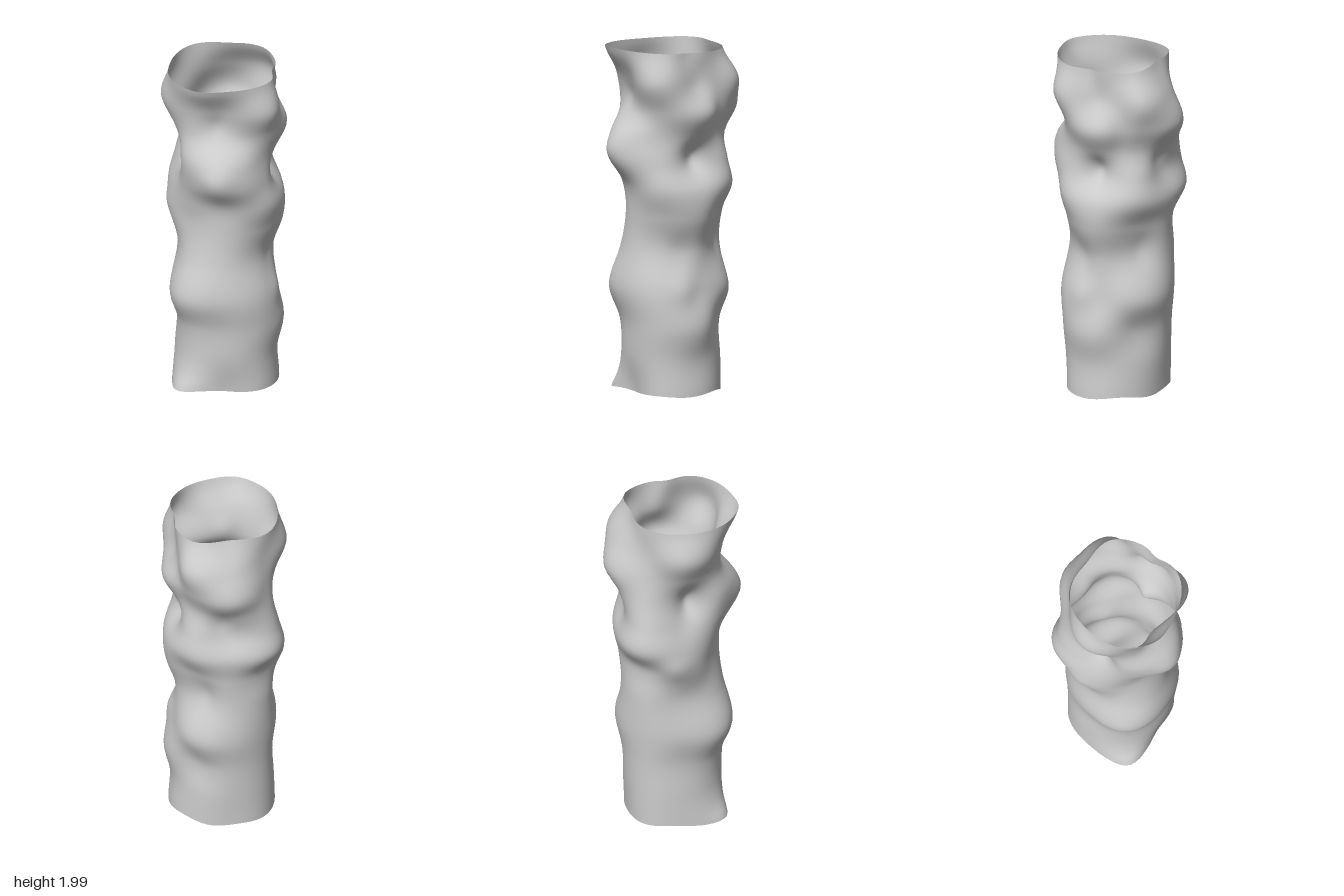
import * as THREE from 'three';

// Heights at which the wall radius is given
const LEVELS = [0, 0.2, 0.4, 0.6, 0.85, 1.05, 1.2, 1.35, 1.5, 1.65, 1.82, 2];

// Radius profiles, one per 45 degrees, turning from +x towards +z
const PROFILES = [
  [0.27, 0.265, 0.25, 0.31, 0.235, 0.27, 0.335, 0.31, 0.28, 0.33, 0.37, 0.285],
  [0.30, 0.29, 0.325, 0.285, 0.27, 0.325, 0.325, 0.25, 0.285, 0.345, 0.27, 0.285],
  [0.31, 0.31, 0.33, 0.325, 0.27, 0.31, 0.35, 0.33, 0.31, 0.33, 0.39, 0.34],
  [0.26, 0.29, 0.30, 0.335, 0.295, 0.285, 0.30, 0.38, 0.37, 0.275, 0.285, 0.36],
  [0.34, 0.30, 0.305, 0.37, 0.295, 0.27, 0.29, 0.32, 0.335, 0.31, 0.33, 0.375],
  [0.30, 0.29, 0.28, 0.31, 0.275, 0.315, 0.315, 0.275, 0.25, 0.30, 0.37, 0.32],
  [0.30, 0.30, 0.30, 0.31, 0.31, 0.305, 0.39, 0.365, 0.335, 0.31, 0.29, 0.295],
  [0.26, 0.27, 0.28, 0.31, 0.29, 0.30, 0.325, 0.275, 0.32, 0.385, 0.325, 0.235],
];

// Local dents and bulges: angle, height, depth, angular spread, vertical spread
const DENTS = [
  [213, 1.48, -0.06, 16, 0.1],
  [50, 1.39, -0.045, 15, 0.08],
  [325, 1.45, -0.025, 14, 0.08],
  [142, 1.41, 0.025, 13, 0.09],
  [148, 1.71, -0.02, 14, 0.08],
  [155, 2.0, 0.02, 16, 0.12],
  [60, 2.0, -0.03, 14, 0.12],
  [18, 1.72, -0.03, 13, 0.18],
  [238, 1.08, 0.025, 16, 0.08],
  [182, 0.0, 0.025, 14, 0.06],
  [65, 0.62, 0.02, 14, 0.09],
  [68, 0.84, -0.015, 15, 0.1],
  [345, 0.9, -0.02, 16, 0.1],
];

function cubic(a, b, c, d, t) {
  return b + 0.5 * t * (c - a + t * (2 * a - 5 * b + 4 * c - d + t * (3 * (b - c) + d - a)));
}

// Smooth radius along one profile
function profileRadius(profile, y) {
  let k = 0;
  while (k < LEVELS.length - 2 && y > LEVELS[k + 1]) k++;
  const t = (y - LEVELS[k]) / (LEVELS[k + 1] - LEVELS[k]);
  const at = (i) => profile[Math.min(Math.max(i, 0), profile.length - 1)];
  return cubic(at(k - 1), at(k), at(k + 1), at(k + 2), t);
}

// Smooth radius at any angle (degrees) and height
function wallRadius(angle, y) {
  const k = Math.floor(angle / 45);
  const at = (i) => profileRadius(PROFILES[(i + 8) % 8], y);
  let r = cubic(at(k - 1), at(k), at(k + 1), at(k + 2), angle / 45 - k);
  for (const [a, h, depth, spread, rise] of DENTS) {
    const da = ((angle - a + 540) % 360) - 180;
    r += depth * Math.exp(-((da / spread) ** 2) - ((y - h) / rise) ** 2);
  }
  return r;
}

// Open crumpled tube wall built from rings
function tubeGeometry(sides, rows) {
  const positions = [];
  const indices = [];
  for (let j = 0; j <= rows; j++) {
    for (let i = 0; i < sides; i++) {
      const angle = (i / sides) * 360;
      const a = THREE.MathUtils.degToRad(angle);
      const v = j / rows;
      const r = wallRadius(angle, v * 2);
      // Slightly wavy rims
      const bottom = 0.02 + 0.007 * Math.sin(3 * a + 0.5) + 0.005 * Math.sin(5 * a);
      const top = 1.99 + 0.007 * Math.sin(2 * a + 3.4);
      positions.push(r * Math.cos(a), THREE.MathUtils.lerp(bottom, top, v), r * Math.sin(a));
      if (j < rows) {
        const p = j * sides + i;
        const q = j * sides + ((i + 1) % sides);
        indices.push(p, p + sides, q, q, p + sides, q + sides);
      }
    }
  }
  const geometry = new THREE.BufferGeometry();
  geometry.setAttribute('position', new THREE.Float32BufferAttribute(positions, 3));
  geometry.setIndex(indices);
  geometry.computeVertexNormals();
  return geometry;
}

export function createModel() {
  const group = new THREE.Group();
  group.name = 'crumpledTube';
  const material = new THREE.MeshStandardMaterial({ color: 0xcccccc, side: THREE.DoubleSide });
  const wall = new THREE.Mesh(tubeGeometry(72, 80), material);
  wall.name = 'tubeWall';
  group.add(wall);
  return group;
}
